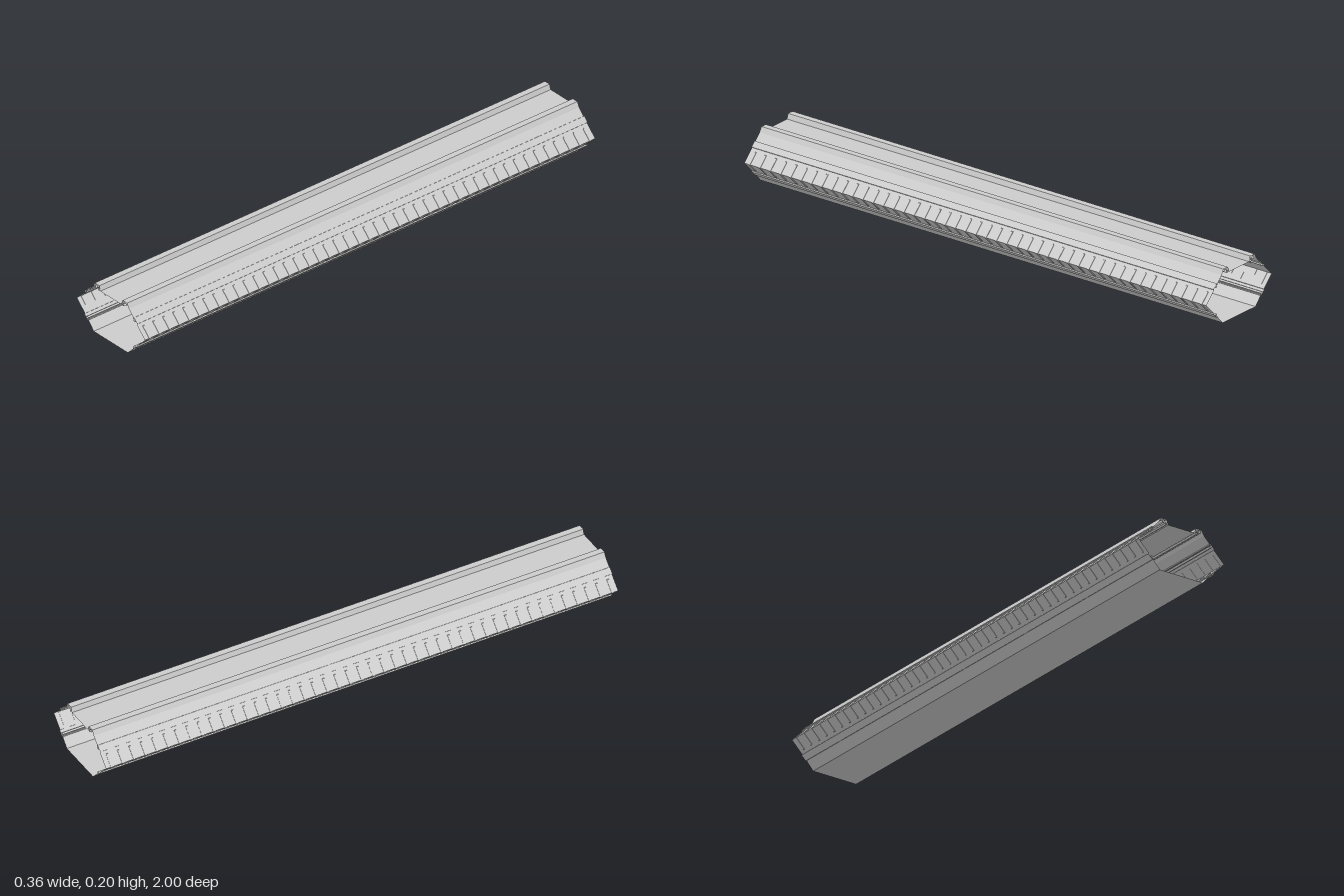
import * as THREE from 'three';

const LENGTH = 2, MID = 0.0925, CELL = LENGTH / 45;
const mat = new THREE.MeshStandardMaterial({ color: 0xcccccc, side: THREE.DoubleSide, flatShading: true });
const smooth = new THREE.MeshStandardMaterial({ color: 0xcccccc, side: THREE.DoubleSide });

function add(parent, name, geometry, material = mat) {
  const mesh = new THREE.Mesh(geometry, material);
  mesh.name = name;
  parent.add(mesh);
  return mesh;
}

// Open sheet: a profile in x, y swept along the whole length
function sheet(points) {
  const pos = [];
  for (let i = 0; i < points.length - 1; i++) {
    const [ax, ay] = points[i], [bx, by] = points[i + 1], h = LENGTH / 2;
    pos.push(ax, ay, h, ax, ay, -h, bx, by, -h, ax, ay, h, bx, by, -h, bx, by, h);
  }
  const g = new THREE.BufferGeometry();
  g.setAttribute('position', new THREE.Float32BufferAttribute(pos, 3));
  g.computeVertexNormals();
  return g;
}

// Closed outline extruded along z, centred on z = 0
function slab(points, depth) {
  const shape = new THREE.Shape(points.map(([x, y]) => new THREE.Vector2(x, y)));
  return new THREE.ExtrudeGeometry(shape, { depth, bevelEnabled: false }).translate(0, 0, -depth / 2);
}

const flip = ([x, y]) => [x, 2 * MID - y];

export function createModel() {
  const group = new THREE.Group();

  // Flat floor and sunken ceiling
  add(group, 'floor', sheet([[0.09, 0], [-0.09, 0]]));
  add(group, 'ceiling', sheet([[-0.055, 0.177], [0.055, 0.177]]));

  // Half section of the wall above the side corner, with an outward pipe channel
  const upper = [[0.179, MID], [0.1445, 0.127], [0.136, 0.1355], [0.139, 0.1385],
    [0.122, 0.1555], [0.119, 0.1525], [0.0945, 0.178]];
  const lower = [...upper.slice(0, -1).map(flip), [0.09, 0]];
  const rib = [[0.181, MID], [0.1465, 0.127], [0.1435, 0.127], [0.178, MID], [0.1435, 0.058], [0.1465, 0.058]];
  const bracket = [[0.1385, 0.1285], [0.1275, 0.1395], [0.1263, 0.1383], [0.1373, 0.1273]];
  const pipes = [
    ['ceilingPipe', 0.0755, 0.187, 0.0065], ['thinCeilingPipe', 0.0640, 0.179, 0.0042],
    ['upperWallPipe', 0.124, 0.144, 0.0045], ['thinUpperWallPipe', 0.120, 0.151, 0.003],
    ['lowerWallPipe', 0.124, 0.040, 0.0045], ['thinLowerWallPipe', 0.120, 0.033, 0.003],
  ];

  for (const s of [1, -1]) {
    const side = new THREE.Group();
    side.name = s > 0 ? 'leftSide' : 'rightSide';
    group.add(side);
    const m = (pts) => pts.map(([x, y]) => [s * x, y]);

    add(side, 'upperWall', sheet(m(upper)));
    add(side, 'lowerWall', sheet(m(lower)));

    // Raised casing over the ceiling pipes
    add(side, 'ceilingCasing', sheet(m([[0.0945, 0.178], [0.092, 0.183], [0.085, 0.196], [0.061, 0.196], [0.055, 0.177]])));

    // Evenly spaced V-shaped wall ribs
    const ribGeometry = slab(m(rib), 0.008);
    for (let i = 0; i < 45; i++) {
      add(side, 'wallRib', ribGeometry).position.z = -1 + (i + 0.5) * CELL;
    }

    // Pipe brackets
    for (const pts of [bracket, bracket.map(flip)]) {
      const g = slab(m(pts), 0.008);
      for (let k = -2; k <= 2; k++) add(side, 'pipeBracket', g).position.z = k * 8 * CELL;
    }

    // Open pipes with slightly wider couplings
    for (const [name, x, y, r] of pipes) {
      const pipe = new THREE.CylinderGeometry(r * 0.9, r * 0.9, LENGTH, 12, 1, true).rotateX(Math.PI / 2);
      add(side, name, pipe, smooth).position.set(s * x, y, 0);
      const coupling = new THREE.LatheGeometry(
        [[0.9, -0.006], [1, -0.006], [1, 0.006], [0.9, 0.006]].map(([k, h]) => new THREE.Vector2(r * k, h)), 12
      ).rotateX(Math.PI / 2);
      for (let k = -2; k <= 2; k++) {
        add(side, 'pipeCoupling', coupling).position.set(s * x, y, (k * 8 - 2) * CELL);
      }
    }
  }
  return group;
}
